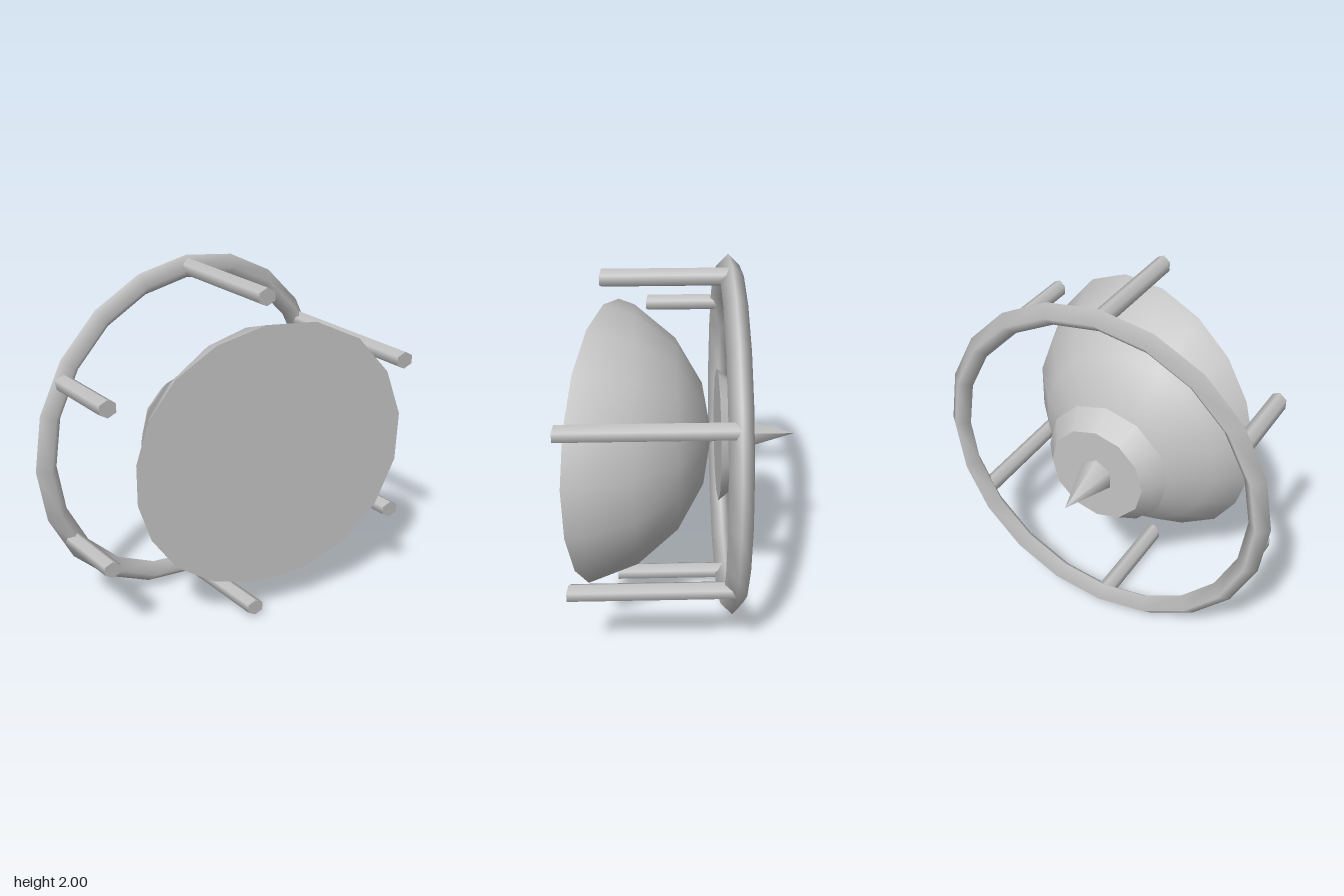
import * as THREE from 'three';

const CY = 1; // height of the common axis
// Slanted plane that trims the bowl and the rods
const cutZ = (x, y) => 0.392 + 0.275 * x + 0.025 * (y - 1);

// Back part of a coarse sphere, sliced off by the slanted plane
function bowlGeometries() {
  const R = 0.835, cz = 0.67, cy = CY + 0.008, N = 18, M = 6;
  const pos = [], nor = [], idx = [], rim = [];
  for (let i = 0; i <= N; i++) {
    const a = Math.PI / 2 + (i / N) * Math.PI * 2;
    let prev = null, cut = null;
    for (let j = 0; j <= M; j++) {
      const t = (j * Math.PI) / 9;
      let p = new THREE.Vector3(
        R * Math.sin(t) * Math.cos(a), cy + R * Math.sin(t) * Math.sin(a), cz - R * Math.cos(t));
      const d = p.z - cutZ(p.x, p.y);
      if (!cut && d > 0) {
        const e = prev.z - cutZ(prev.x, prev.y);
        cut = prev.clone().lerp(p, -e / (d - e));
      }
      if (cut) p = cut;
      prev = p;
      pos.push(p.x, p.y, p.z);
      const n = p.clone().sub(new THREE.Vector3(0, cy, cz)).normalize();
      nor.push(n.x, n.y, n.z);
    }
    rim.push(cut);
  }
  const at = k => new THREE.Vector3().fromArray(pos, k * 3);
  const tri = (a, b, c) => {
    const area = at(b).sub(at(a)).cross(at(c).sub(at(a))).length();
    if (area > 1e-7) idx.push(a, b, c);
  };
  for (let i = 0; i < N; i++) for (let j = 0; j < M; j++) {
    const a = i * (M + 1) + j, b = a + M + 1;
    tri(a, b, a + 1);
    tri(b, b + 1, a + 1);
  }
  const shell = new THREE.BufferGeometry();
  shell.setAttribute('position', new THREE.Float32BufferAttribute(pos, 3));
  shell.setAttribute('normal', new THREE.Float32BufferAttribute(nor, 3));
  shell.setIndex(idx);

  // Flat face closing the cut
  const face = new THREE.BufferGeometry();
  const fp = [0, cy, cutZ(0, cy)], fi = [];
  rim.forEach((p, i) => {
    fp.push(p.x, p.y, p.z);
    if (i < N) fi.push(0, i + 1, i + 2);
  });
  face.setAttribute('position', new THREE.Float32BufferAttribute(fp, 3));
  face.setIndex(fi);
  face.computeVertexNormals();
  return { shell, face };
}

// Hexagonal rod running forward from the ring to the slanted plane
function rodGeometry(x, y) {
  const g = new THREE.CylinderGeometry(0.049, 0.049, 1, 6).rotateX(Math.PI / 2);
  const p = g.attributes.position;
  for (let i = 0; i < p.count; i++) {
    const px = p.getX(i) + x, py = p.getY(i) + y;
    p.setXYZ(i, px, py, p.getZ(i) > 0 ? cutZ(px, py) : -0.255);
  }
  return g;
}

export function createModel() {
  const model = new THREE.Group();
  const grey = new THREE.MeshStandardMaterial({ color: 0xc4c4c4 });
  grey.name = 'lightGrey';
  const add = (name, geometry, x = 0, y = 0, z = 0) => {
    const mesh = new THREE.Mesh(geometry, grey);
    mesh.name = name;
    mesh.position.set(x, y, z);
    model.add(mesh);
  };

  // Ring with a four-sided section
  add('ring', new THREE.TorusGeometry(0.9375, 0.0625, 4, 20), 0, CY, -0.26);

  // Six rods around the ring
  for (let k = 0; k < 6; k++) {
    const a = Math.PI / 2 + (k * Math.PI) / 3;
    add('rod' + (k + 1), rodGeometry(0.9375 * Math.cos(a), CY + 0.9375 * Math.sin(a)));
  }

  // Bowl
  const { shell, face } = bowlGeometries();
  add('bowlShell', shell);
  add('bowlFace', face);

  // Tapered hub and rear spike
  add('hub', new THREE.CylinderGeometry(0.28, 0.37, 0.115, 12).rotateX(-Math.PI / 2), 0, CY, -0.2575);
  add('spike', new THREE.ConeGeometry(0.1, 0.315, 6).rotateX(-Math.PI / 2), 0, CY, -0.4725);
  return model;
}
